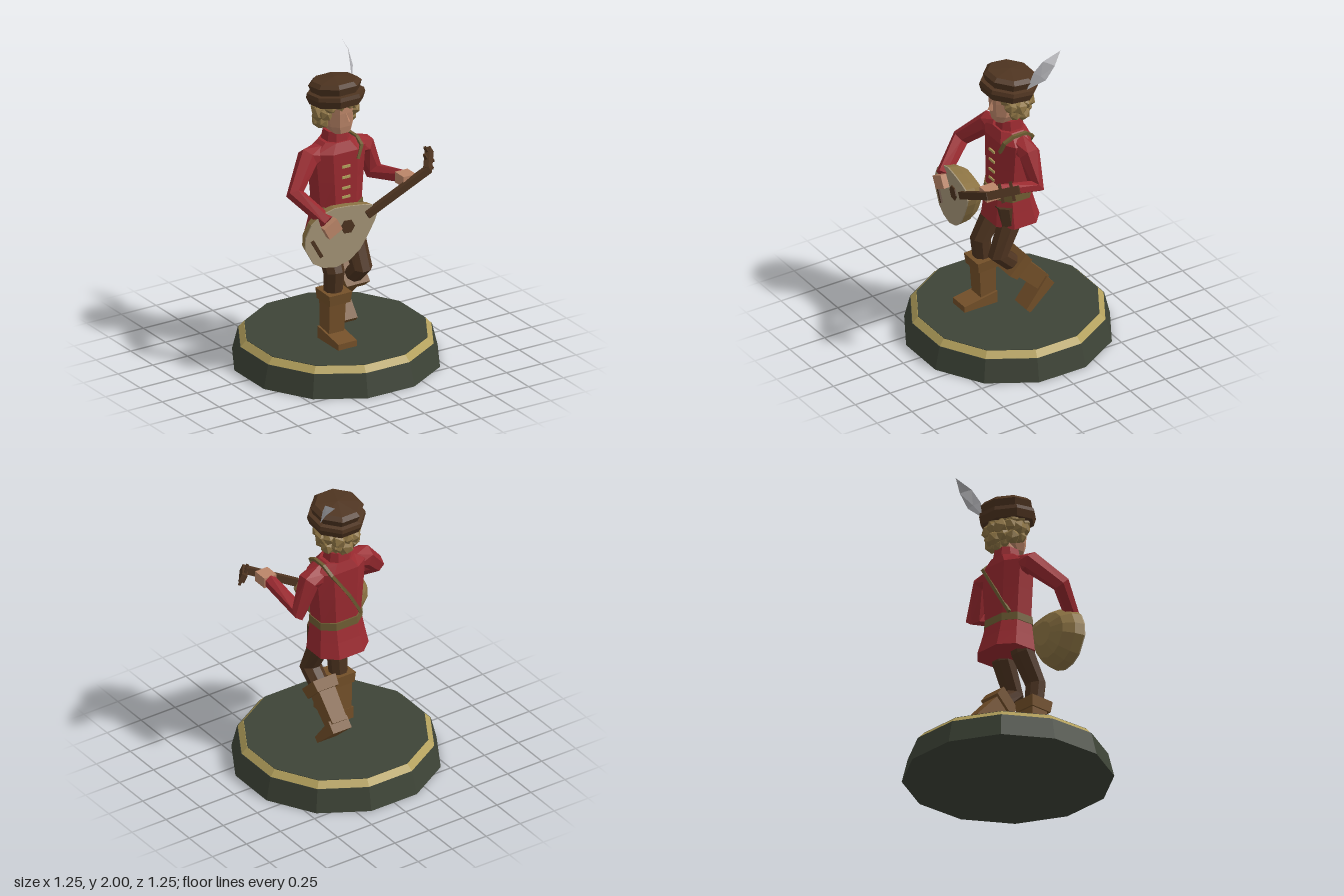
import * as THREE from 'three';

const mat = (name, color) => {
  const m = new THREE.MeshStandardMaterial({ color });
  m.name = name;
  return m;
};
const V = (x, y, z) => new THREE.Vector3(x, y, z);

// Faceted mesh: every face gets its own normal
function part(parent, name, geometry, material) {
  const g = geometry.index ? geometry.toNonIndexed() : geometry;
  g.computeVertexNormals();
  const mesh = new THREE.Mesh(g, material);
  mesh.name = name;
  parent.add(mesh);
  return mesh;
}

// Closed surface through rings of points that run counter-clockwise about the path
function skin(rings) {
  const out = [];
  const tri = (...pts) => pts.forEach((p) => out.push(p.x, p.y, p.z));
  const n = rings[0].length;
  const centre = (r) => r.reduce((s, p) => s.add(p), V(0, 0, 0)).divideScalar(n);
  const first = rings[0], last = rings[rings.length - 1];
  const c0 = centre(first), c1 = centre(last);
  for (let j = 0; j < n; j++) {
    const k = (j + 1) % n;
    for (let i = 0; i < rings.length - 1; i++) {
      const a = rings[i], b = rings[i + 1];
      tri(a[j], a[k], b[k]);
      tri(a[j], b[k], b[j]);
    }
    tri(c0, first[k], first[j]);
    tri(c1, last[j], last[k]);
  }
  return new THREE.BufferGeometry().setAttribute('position', new THREE.Float32BufferAttribute(out, 3));
}

// Limb along a bent path, one radius per point
function sweep(path, radii, sides = 6) {
  const pts = path.map((p) => V(...p));
  return skin(pts.map((p, i) => {
    const t = V(0, 0, 0);
    if (i > 0) t.add(p.clone().sub(pts[i - 1]).normalize());
    if (i < pts.length - 1) t.add(pts[i + 1].clone().sub(p).normalize());
    t.normalize();
    const e1 = V(1, 0, 0).addScaledVector(t, -t.x).normalize();
    const e2 = t.clone().cross(e1);
    return Array.from({ length: sides }, (_, j) => {
      const a = ((j + 0.5) / sides) * Math.PI * 2;
      return p.clone().addScaledVector(e1, Math.cos(a) * radii[i]).addScaledVector(e2, Math.sin(a) * radii[i]);
    });
  }));
}

// Upright body from eight-sided levels: [y, half width, half depth, z centre]
const OCT = [[-0.5, 1], [0.5, 1], [1, 0.5], [1, -0.5], [0.5, -1], [-0.5, -1], [-1, -0.5], [-1, 0.5]];
const loft = (levels) => skin(levels.map(([y, w, d, z = 0]) => OCT.map(([a, b]) => V(a * w, y, b * d + z))));

export function createModel() {
  const red = mat('red cloth', 0x9a2a30);
  const brown = mat('dark brown', 0x4e3420);
  const leather = mat('boot leather', 0x745029);
  const green = mat('base green', 0x3e4437);
  const gold = mat('gold trim', 0xb3a05c);
  const cream = mat('soundboard cream', 0xa69678);
  const skinTone = mat('skin', 0xbb8568);
  const tan = mat('tan wood and hair', 0x8d7444);
  const olive = mat('strap olive', 0x6f5d33);
  const grey = mat('feather grey', 0xb2b2b6);
  grey.side = THREE.DoubleSide;

  const model = new THREE.Group();
  model.name = 'minstrel figurine';
  const add = (name, geo, m, x = 0, y = 0, z = 0) => {
    const mesh = part(model, name, geo, m);
    mesh.position.set(x, y, z);
    return mesh;
  };
  const box = (w, h, d) => new THREE.BoxGeometry(w, h, d);

  // Twelve-sided base
  const disc = (r1, r0, h) => new THREE.CylinderGeometry(r1, r0, h, 12).rotateY(Math.PI / 12);
  add('base', disc(0.61, 0.647, 0.15), green, 0, 0.075);
  add('baseTrim', disc(0.572, 0.607, 0.038), gold, 0, 0.169);
  add('baseTop', disc(0.57, 0.57, 0.008), green, 0, 0.187);

  // Legs and boots
  add('rightTrouserLeg', sweep([[-0.085, 0.95, 0], [-0.095, 0.82, 0.035], [-0.1, 0.64, 0.135], [-0.1, 0.48, 0.12]],
    [0.075, 0.075, 0.066, 0.058], 8), brown);
  add('leftTrouserLeg', sweep([[0.085, 0.96, 0.06], [0.09, 0.82, 0.045], [0.1, 0.63, 0.13], [0.1, 0.5, -0.01]],
    [0.075, 0.076, 0.068, 0.06], 8), brown);
  add('rightBootShaft', sweep([[-0.1, 0.5, 0.12], [-0.1, 0.22, 0.11]], [0.085, 0.075], 4), leather);
  add('rightBootCuff', sweep([[-0.095, 0.52, 0.125], [-0.095, 0.45, 0.122]], [0.115, 0.105], 4), leather);
  add('leftBootShaft', sweep([[0.1, 0.54, 0.02], [0.105, 0.36, -0.16]], [0.085, 0.075], 4), leather);
  add('leftBootCuff', sweep([[0.1, 0.56, 0.04], [0.1, 0.51, -0.01]], [0.118, 0.108], 4), leather);
  const foot = (name, x, y, z, tilt) => {
    const g = box(0.135, 0.08, 0.235).translate(0, 0.04, 0.117);
    const p = g.attributes.position;
    for (let i = 0; i < p.count; i++) if (p.getZ(i) > 0.2 && p.getY(i) > 0.04) p.setY(i, 0.04);
    add(name, g, leather, x, y, z).rotation.x = tilt;
  };
  foot('rightFoot', -0.1, 0.19, 0.055, 0);
  foot('leftFoot', 0.105, 0.345, -0.225, 0.74);

  // Tunic
  add('tunicSkirt', loft([[0.82, 0.177, 0.155, -0.015], [0.92, 0.162, 0.135, -0.005], [1.02, 0.148, 0.117, 0.003]]), red);
  add('tunicBody', loft([[1.02, 0.146, 0.112, 0.003], [1.22, 0.162, 0.112], [1.4, 0.178, 0.11], [1.46, 0.1, 0.085, -0.005]]), red);
  add('collar', loft([[1.44, 0.082, 0.08, -0.01], [1.52, 0.068, 0.068, -0.01]]), red);
  add('belt', loft([[1.0, 0.156, 0.124, 0.003], [1.05, 0.154, 0.122, 0.003]]), olive);
  add('beltBuckle', box(0.06, 0.055, 0.012), gold, 0.02, 1.025, 0.127);
  for (const y of [1.31, 1.24, 1.17, 1.11]) add('button', box(0.058, 0.016, 0.014), gold, 0, y, 0.113);
  add('shoulderStrap', sweep([[0.085, 1.34, 0.11], [0.12, 1.42, 0.1], [0.125, 1.45, 0.04], [0.125, 1.45, -0.05],
    [0.105, 1.4, -0.11], [-0.02, 1.22, -0.115], [-0.12, 1.05, -0.095]], Array(7).fill(0.014), 4), olive);

  // Arms and hands
  add('rightSleeve', sweep([[-0.12, 1.38, 0], [-0.21, 1.375, 0.01], [-0.365, 1.21, 0.11], [-0.255, 1.07, 0.305]],
    [0.07, 0.07, 0.056, 0.045]), red);
  add('leftSleeve', sweep([[0.12, 1.38, -0.01], [0.215, 1.355, -0.02], [0.285, 1.165, -0.02], [0.3, 1.235, 0.275]],
    [0.07, 0.07, 0.058, 0.042]), red);
  add('rightHand', box(0.105, 0.085, 0.04), skinTone, -0.24, 1.035, 0.33).rotation.z = 0.5;
  add('leftHand', box(0.09, 0.07, 0.1), skinTone, 0.3, 1.235, 0.315);

  // Head
  add('neck', loft([[1.48, 0.05, 0.05, -0.01], [1.58, 0.05, 0.05, -0.01]]), skinTone);
  add('head', loft([[1.525, 0.058, 0.05, 0.05], [1.57, 0.08, 0.088, 0.02], [1.66, 0.086, 0.108, 0.005], [1.76, 0.09, 0.11]]), skinTone);
  const nose = add('nose', new THREE.ConeGeometry(0.022, 0.065, 4), skinTone, 0, 1.64, 0.118);
  nose.rotation.x = -0.25;

  // Curly hair: rows of chunky tufts, open in front of the face
  const row = (y, r, count, gap, size) => {
    for (let i = 0; i < count; i++) {
      const a = gap + ((2 * Math.PI - 2 * gap) * (i + 0.5)) / count;
      const tuft = add('hairTuft', new THREE.IcosahedronGeometry(size * (i % 2 ? 1 : 0.85), 0), tan,
        Math.sin(a) * r, y - (i % 2) * 0.012, Math.cos(a) * r - 0.008);
      tuft.rotation.set(i * 1.7, a + i, i * 0.9);
    }
  };
  row(1.71, 0.102, 11, 0, 0.046);
  row(1.65, 0.108, 9, 0.85, 0.054);
  row(1.59, 0.1, 7, 1.1, 0.05);
  row(1.555, 0.07, 3, 2.2, 0.04);

  // Cap and feather
  const profile = [[0, -0.05], [0.165, -0.055], [0.183, -0.01], [0.177, 0.015], [0.15, 0.02], [0.166, 0.065], [0.14, 0.088], [0, 0.105]];
  const cap = add('cap', new THREE.LatheGeometry(profile.map(([x, y]) => new THREE.Vector2(x, y)), 8, Math.PI / 8),
    brown, 0, 1.755, -0.005);
  cap.rotation.x = -0.12;
  const quill = [V(0.145, 1.77, -0.045), V(0.185, 1.86, -0.12), V(0.198, 1.94, -0.175), V(0.185, 2.0, -0.26)];
  const edges = [
    [quill[0], V(0.155, 1.88, -0.085), V(0.175, 1.955, -0.14), quill[3]],
    [quill[0], V(0.21, 1.84, -0.14), V(0.215, 1.925, -0.2), quill[3]],
  ];
  const vane = [];
  for (const e of edges)
    for (let i = 0; i < 3; i++) vane.push(quill[i], e[i], e[i + 1], quill[i], e[i + 1], quill[i + 1]);
  add('feather', new THREE.BufferGeometry().setFromPoints(vane), grey);

  // Lute: local x runs up the neck, local z out of the soundboard
  const lute = new THREE.Group();
  lute.name = 'lute';
  const d = V(0.86, 0.48, 0.12).normalize();
  const n = V(-0.13, -0.02, 1);
  n.addScaledVector(d, -n.dot(d)).normalize();
  lute.applyMatrix4(new THREE.Matrix4().makeBasis(d, n.clone().cross(d), n).setPosition(-0.16, 0.97, 0.3));
  model.add(lute);
  const half = [[-0.24, 0.06], [-0.2, 0.125], [-0.13, 0.175], [-0.04, 0.192], [0.05, 0.175], [0.13, 0.13], [0.22, 0.07], [0.26, 0.035]];
  const outline = [...half.map(([u, v]) => [u, -v]), ...half.slice().reverse()];
  const ring = (s, z) => outline.map(([u, v]) => V(u * s, v * s, z));
  part(lute, 'luteBowl', skin([ring(0.4, -0.155), ring(0.75, -0.12), ring(0.95, -0.06), ring(1, 0)]), tan);
  part(lute, 'soundboard', skin([ring(1, 0), ring(0.995, 0.008)]), cream);
  part(lute, 'soundHole', new THREE.CylinderGeometry(0.047, 0.047, 0.008, 6).rotateX(Math.PI / 2), brown).position.set(0.06, 0.017, 0.012);
  part(lute, 'bridge', box(0.022, 0.13, 0.014), brown).position.set(-0.175, 0.018, 0.013);
  part(lute, 'luteNeck', box(0.475, 0.046, 0.036), brown).position.set(0.435, 0.005, 0.014);
  const head = new THREE.Group();
  head.name = 'headstock';
  head.position.set(0.66, 0.005, 0.015);
  head.rotation.y = 1.02;
  lute.add(head);
  part(head, 'pegBox', box(0.2, 0.05, 0.036), brown).position.x = 0.095;
  for (const x of [0.08, 0.15]) part(head, 'tuningPeg', box(0.018, 0.12, 0.016), brown).position.x = x;

  return model;
}
